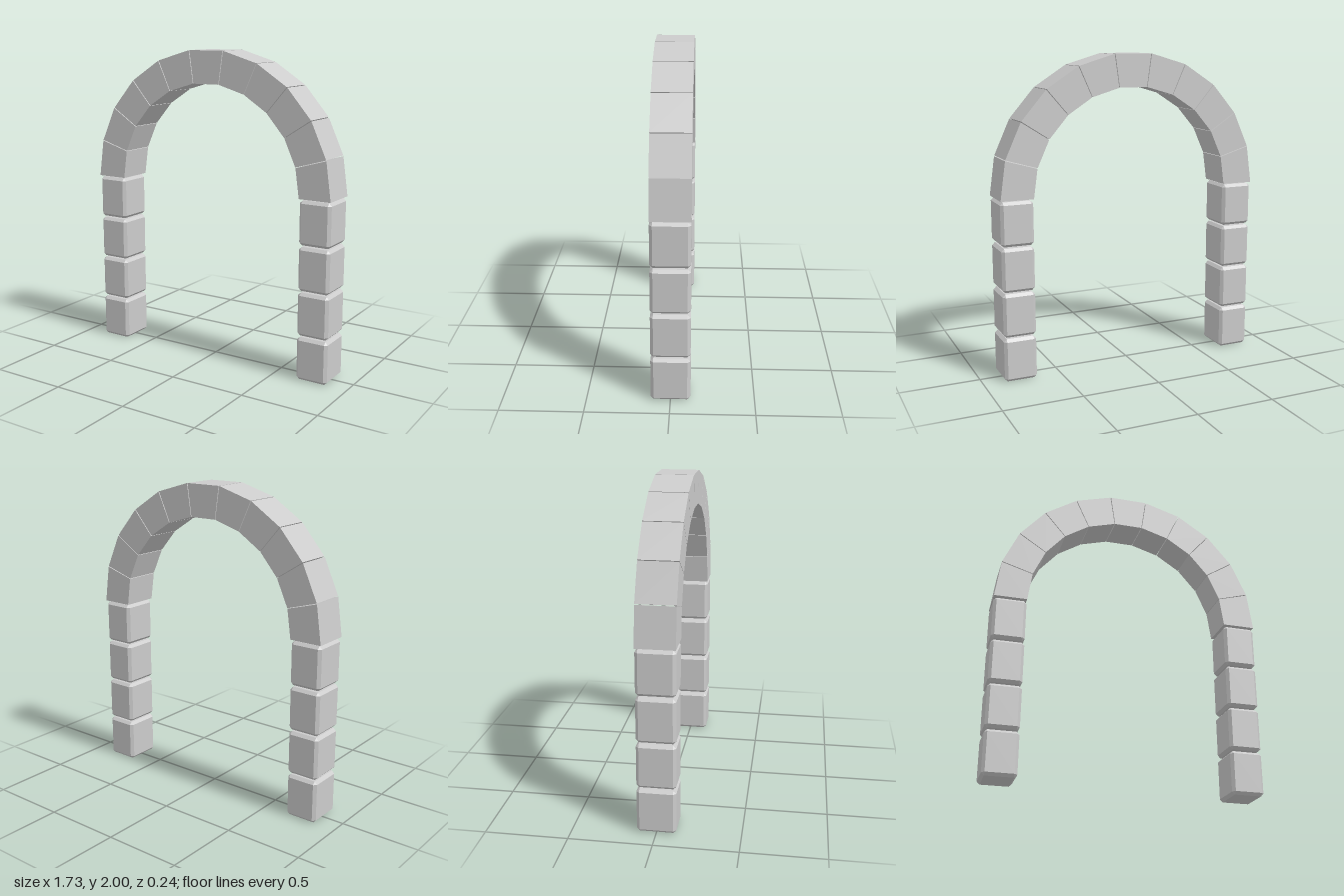
import * as THREE from 'three';
import { ConvexGeometry } from 'three/addons/geometries/ConvexGeometry.js';

const DEPTH = 0.236;
const OUTER = 0.867, INNER = 0.659, SPRING_Y = 1.142;
const STONES = 11, BLOCKS = 4;

// Box with all edges and corners cut at 45 degrees
function chamferedBox(w, h, d, c) {
  const points = [];
  for (const sx of [-1, 1]) for (const sy of [-1, 1]) for (const sz of [-1, 1]) {
    const x = w / 2, y = h / 2, z = d / 2;
    points.push(
      new THREE.Vector3(sx * x, sy * (y - c), sz * (z - c)),
      new THREE.Vector3(sx * (x - c), sy * y, sz * (z - c)),
      new THREE.Vector3(sx * (x - c), sy * (y - c), sz * z)
    );
  }
  return new ConvexGeometry(points);
}

// Wedge stone spanning angles a0..a1, with straight inner and outer faces
function wedge(a0, a1) {
  const shape = new THREE.Shape([[OUTER, a0], [OUTER, a1], [INNER, a1], [INNER, a0]]
    .map(([r, a]) => new THREE.Vector2(r * Math.cos(a), r * Math.sin(a))));
  return new THREE.ExtrudeGeometry(shape, { depth: DEPTH, bevelEnabled: false })
    .translate(0, 0, -DEPTH / 2);
}

export function createModel() {
  const model = new THREE.Group();
  model.name = 'stoneArch';
  const material = new THREE.MeshStandardMaterial({ color: 0xcccccc, flatShading: true });

  // Two pillars of stacked blocks
  const height = 0.276, pitch = 0.286;
  const block = chamferedBox(OUTER - INNER, height, DEPTH, 0.018);
  for (const side of [-1, 1]) {
    const pillar = new THREE.Group();
    pillar.name = side > 0 ? 'leftPillar' : 'rightPillar';
    for (let i = 0; i < BLOCKS; i++) {
      const mesh = new THREE.Mesh(block, material);
      mesh.name = `pillarBlock${i + 1}`;
      mesh.position.set(side * (OUTER + INNER) / 2, height / 2 + i * pitch, 0);
      pillar.add(mesh);
    }
    model.add(pillar);
  }

  // Semicircle of wedge stones with thin joints
  const arch = new THREE.Group();
  arch.name = 'arch';
  arch.position.y = SPRING_Y;
  const step = Math.PI / STONES, gap = 0.003;
  for (let i = 0; i < STONES; i++) {
    const start = i * step + (i > 0 ? gap : 0);
    const end = (i + 1) * step - (i < STONES - 1 ? gap : 0);
    const stone = new THREE.Mesh(wedge(start, end), material);
    stone.name = i === (STONES - 1) / 2 ? 'keystone' : `archStone${i + 1}`;
    arch.add(stone);
  }
  model.add(arch);
  return model;
}
